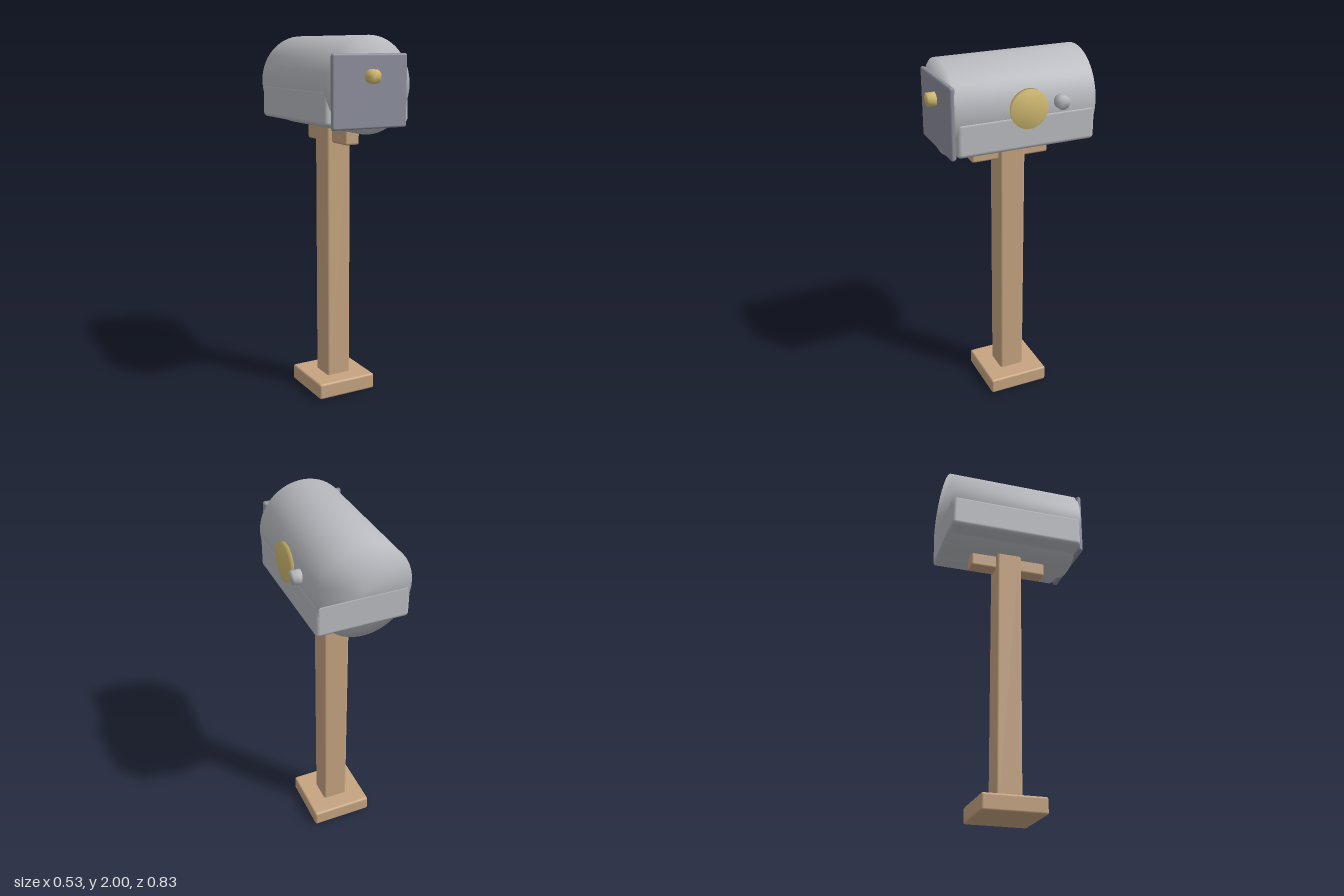
import * as THREE from 'three';
import { mergeVertices } from 'three/addons/utils/BufferGeometryUtils.js';
import { RoundedBoxGeometry } from 'three/addons/geometries/RoundedBoxGeometry.js';

const material = (name, color) => {
  const m = new THREE.MeshStandardMaterial({ color });
  m.name = name;
  return m;
};

export function createModel() {
  const wood = material('wood', 0xc6a480);
  const metal = material('light metal', 0xb9bbc0);
  const doorMetal = material('door metal', 0x8c8e9b);
  const brass = material('brass', 0xd2bc72);

  const model = new THREE.Group();
  model.name = 'mailbox';

  const add = (name, geometry, mat, parent = model) => {
    const mesh = new THREE.Mesh(geometry, mat);
    mesh.name = name;
    parent.add(mesh);
    return mesh;
  };

  // Rounded block given by its lower and upper corners
  const block = (name, [x0, y0, z0], [x1, y1, z1], radius, mat, parent) =>
    add(name, new RoundedBoxGeometry(x1 - x0, y1 - y0, z1 - z0, 3, radius), mat, parent)
      .position.set((x0 + x1) / 2, (y0 + y1) / 2, (z0 + z1) / 2);

  // Closed cylinder whose shading runs smoothly over the rims
  const drum = (name, radius, length, axis, [x, y, z], mat, sides = 32) => {
    let g = new THREE.CylinderGeometry(radius, radius, length, sides);
    g.deleteAttribute('normal');
    g.deleteAttribute('uv');
    g = mergeVertices(g);
    g.computeVertexNormals();
    if (axis === 'z') g.rotateX(Math.PI / 2);
    else g.rotateZ(-Math.PI / 2);
    add(name, g, mat).position.set(x, y, z);
  };

  // Wooden stand
  block('base', [-0.195, 0, -0.207], [0.155, 0.09, 0.143], 0.012, wood);
  block('post', [-0.092, 0.03, -0.103], [0.052, 1.54, 0.041], 0.014, wood);
  block('supportArm', [-0.063, 1.433, -0.25], [0.022, 1.54, 0.19], 0.012, wood);

  // Body: round barrel set into a shallow tray
  drum('barrel', 0.248, 0.763, 'z', [-0.02, 1.753, -0.034], metal, 64);
  block('tray', [-0.268, 1.553, -0.417], [0.229, 1.737, 0.346], 0.022, metal);

  // Door plate with a rolled rim
  const door = new THREE.Group();
  door.name = 'door';
  model.add(door);
  block('doorPlate', [-0.238, 1.535, 0.346], [0.2, 1.911, 0.37], 0.011, doorMetal, door);
  for (const side of [-1, 1]) {
    const upright = add('doorSideRim', new THREE.CapsuleGeometry(0.015, 0.346, 4, 12), doorMetal, door);
    upright.position.set(-0.019 + side * 0.204, 1.723, 0.355);
    const rail = add('doorEndRim', new THREE.CapsuleGeometry(0.015, 0.408, 4, 12), doorMetal, door);
    rail.rotation.z = Math.PI / 2;
    rail.position.set(-0.019, 1.723 + side * 0.173, 0.355);
  }
  drum('doorKnob', 0.036, 0.053, 'z', [-0.02, 1.798, 0.387], brass);

  // Side fittings
  drum('sideDisc', 0.102, 0.023, 'x', [0.2335, 1.768, -0.034], brass, 48);
  drum('sideBolt', 0.036, 0.045, 'x', [0.2445, 1.784, -0.211], metal);

  return model;
}
